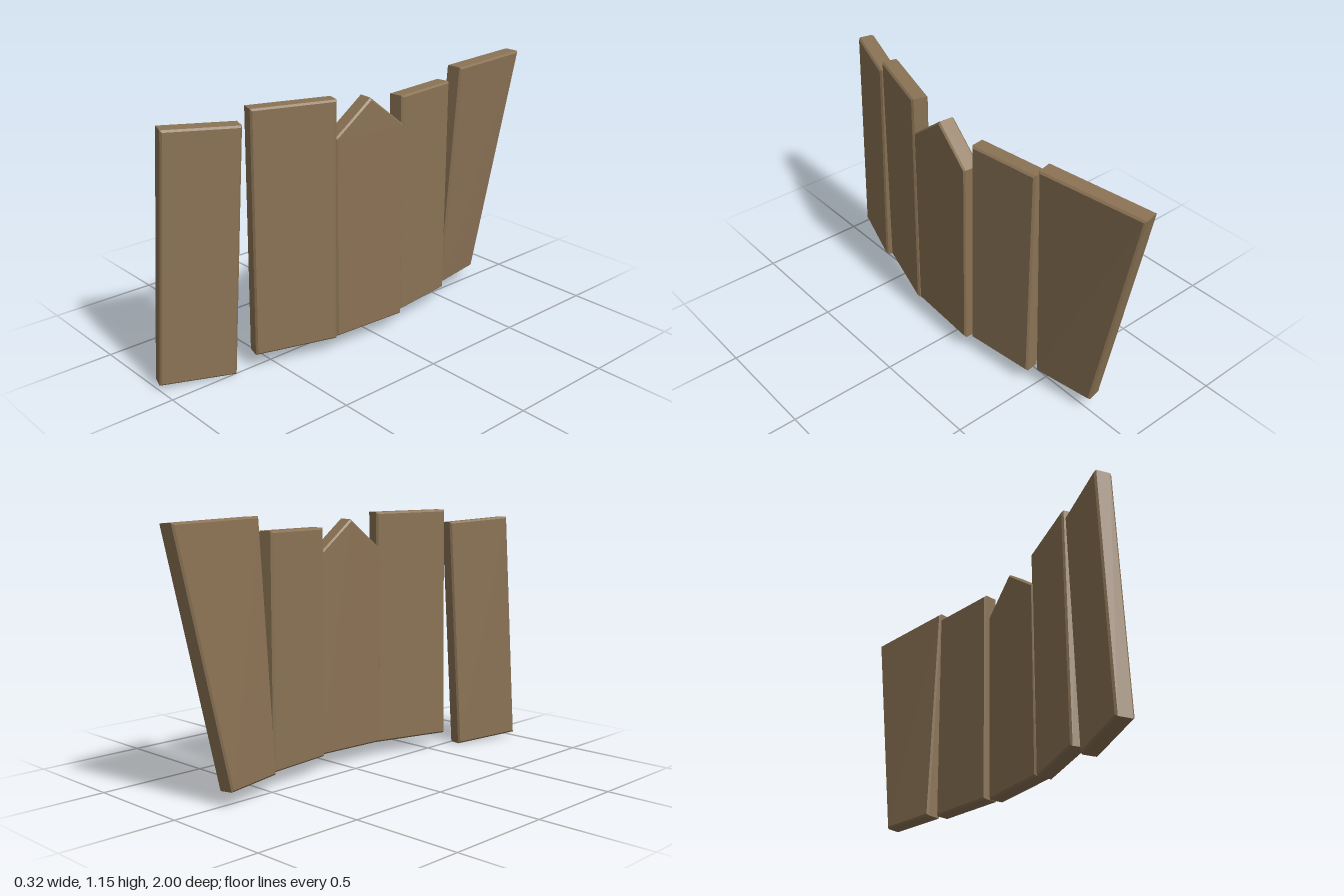
import * as THREE from 'three';
import { ConvexGeometry } from 'three/addons/geometries/ConvexGeometry.js';

const BEVEL = 0.008;

// Outer face outline and the offset from the outer to the inner face of each plank
const PLANKS = [
  { name: 'leaningFrontPlank', depth: [-0.073, 0.003, -0.022],
    outline: [[-0.09, 0.022, 1], [0.01, 0, 0.685], [0.032, 1.09, 0.62], [-0.068, 1.11, 0.93]] },
  { name: 'widePlank', depth: [-0.073, 0, -0.02],
    outline: [[0.037, 0.07, 0.6], [0.145, 0.068, 0.242], [0.147, 1.147, 0.232], [0.042, 1.152, 0.588]] },
  { name: 'pointedPlank', depth: [-0.078, 0, -0.005],
    outline: [[0.14, 0.072, 0.235], [0.163, 0.072, -0.13], [0.163, 0.975, -0.13], [0.15, 1.122, 0.05], [0.14, 0.98, 0.235]] },
  { name: 'narrowPlank', depth: [-0.075, 0, 0.01],
    outline: [[0.137, 0.072, -0.143], [0.097, 0.072, -0.475], [0.097, 1.092, -0.475], [0.137, 1.092, -0.143]] },
  { name: 'flaredBackPlank', depth: [-0.075, 0.004, 0.012],
    outline: [[0.062, 0.072, -0.495], [0.01, 0.066, -0.772], [0.05, 1.142, -1], [0.122, 1.15, -0.52]] },
];

// Board with bevelled rims: inset outline on both faces, full outline between
function plankGeometry(outline, depth) {
  const corners = outline.map((p) => new THREE.Vector3(...p));
  const across = new THREE.Vector3(...depth);
  const n = corners.length;
  const inset = corners.map((p, i) => {
    const toPrev = corners[(i + n - 1) % n].clone().sub(p).normalize();
    const toNext = corners[(i + 1) % n].clone().sub(p).normalize();
    return p.clone().addScaledVector(toPrev.add(toNext), BEVEL);
  });
  const rim = BEVEL / across.length();
  const layers = [[inset, 0], [corners, rim], [corners, 1 - rim], [inset, 1]];
  return new ConvexGeometry(
    layers.flatMap(([ring, t]) => ring.map((p) => p.clone().addScaledVector(across, t))));
}

export function createModel() {
  const fence = new THREE.Group();
  fence.name = 'plankFence';
  const wood = new THREE.MeshStandardMaterial({ color: 0x8b7355 });
  for (const { name, outline, depth } of PLANKS) {
    const plank = new THREE.Mesh(plankGeometry(outline, depth), wood);
    plank.name = name;
    fence.add(plank);
  }
  return fence;
}
